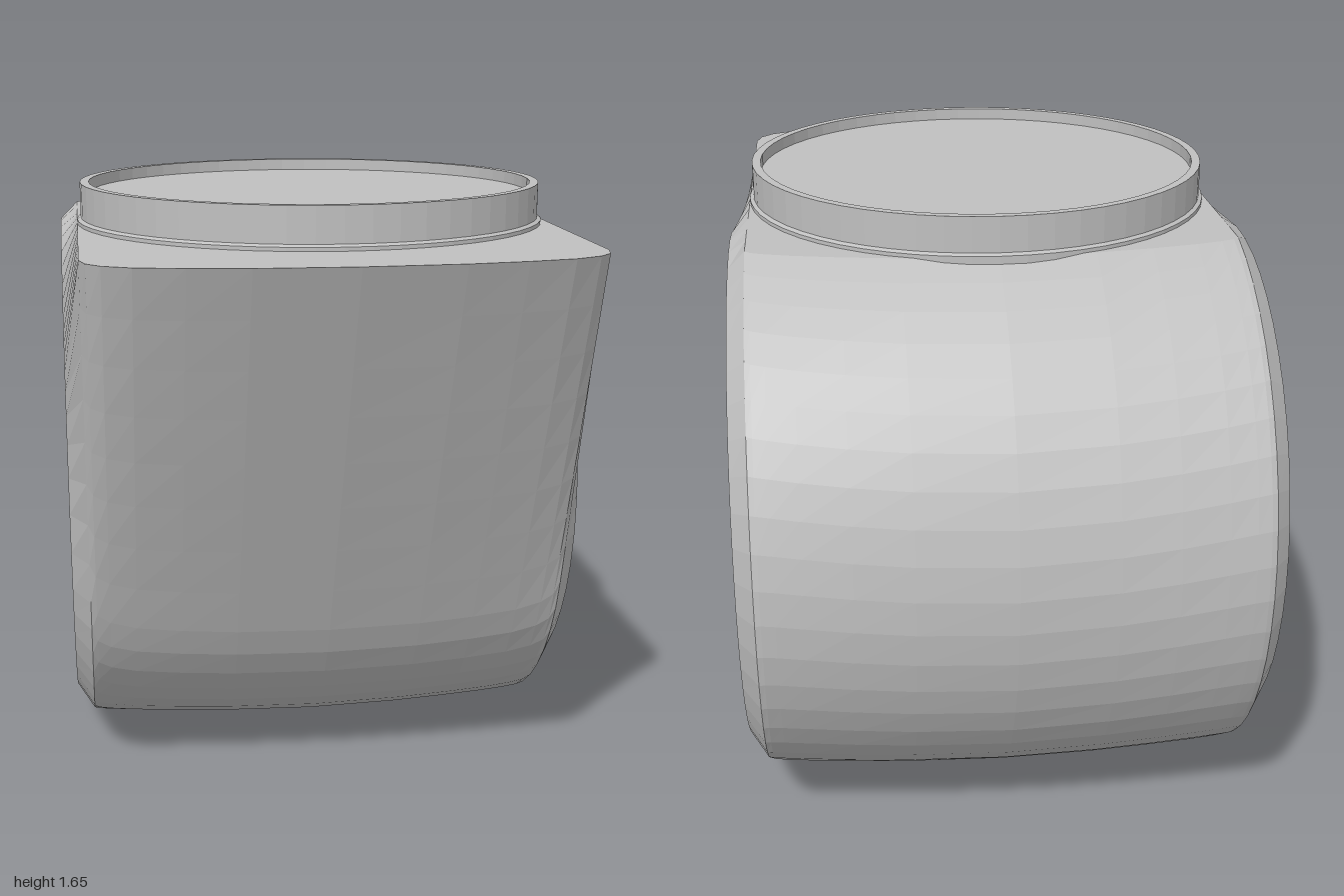
import * as THREE from 'three';

const CZ = -0.2, CY = 0.81, TOP = 1.54; // drum axis and flat top height

// Teardrop loop in (z, y): front lip, drum round the bottom and back, flat top
function teardrop(x, inset, lipZ) {
  const cy = 0.8, r = 0.8 - inset, dz = lipZ - CZ, dy = TOP - cy;
  const start = Math.atan2(dy, dz) - Math.acos(r / Math.hypot(dz, dy));
  const end = -Math.PI - Math.asin(dy / r);
  const on = (a) => [CZ + r * Math.cos(a), cy + r * Math.sin(a)];
  const lip = [lipZ, TOP], loop = [];
  const line = (p, q, n) => {
    for (let i = 0; i < n; i++) loop.push([p[0] + (q[0] - p[0]) * i / n, p[1] + (q[1] - p[1]) * i / n]);
  };
  line(lip, on(start), 8);
  for (let i = 0; i < 34; i++) loop.push(on(start + (end - start) * i / 34));
  line(on(end), lip, 12);
  return loop.map(([z, y]) => [x, y, z]);
}

// Circle sharing the loop's directions from the drum axis
function circle(x, r, guide) {
  return guide.map(([, y, z]) => {
    const a = Math.atan2(y - CY, z - CZ);
    return [x, CY + r * Math.sin(a), CZ + r * Math.cos(a)];
  });
}

function loft(rows) {
  const n = rows[0].length, index = [];
  for (let i = 0; i < rows.length - 1; i++) {
    for (let j = 0; j < n; j++) {
      const k = (j + 1) % n, a = i * n + j, b = i * n + k;
      index.push(a, b, a + n, b, b + n, a + n);
    }
  }
  const g = new THREE.BufferGeometry();
  g.setAttribute('position', new THREE.Float32BufferAttribute(rows.flat(2), 3));
  g.setIndex(index);
  const flat = g.toNonIndexed(); // faceted normals
  flat.computeVertexNormals();
  return flat;
}

export function createModel() {
  const group = new THREE.Group();
  const grey = new THREE.MeshStandardMaterial({ color: 0xc0c0c0 });
  grey.name = 'light grey';
  const add = (name, geometry) => {
    const mesh = new THREE.Mesh(geometry, grey);
    mesh.name = name;
    group.add(mesh);
    return mesh;
  };

  // Barrelled body with bevelled sides: x, inset of the drum, z of the front lip
  const half = [
    [0, 0, 1], [0.25, 0.006, 0.99], [0.4, 0.014, 0.97], [0.52, 0.022, 0.945],
    [0.59, 0.028, 0.91], [0.625, 0.032, 0.87], [0.64, 0.036, 0.81],
  ].map((s) => teardrop(...s));
  const guide = half[half.length - 1];
  half.push(circle(0.687, 0.7, guide), circle(0.687, 0.595, guide), circle(0.677, 0.59, guide));
  const mirrored = half.slice(1).reverse().map((row) => row.map(([x, y, z]) => [-x, y, z]));
  add('body', loft([...mirrored, ...half]));

  // Recessed round panels on both sides
  for (const [name, side] of [['leftPanel', 1], ['rightPanel', -1]]) {
    const panel = add(name, new THREE.CircleGeometry(0.592, 64));
    panel.rotation.y = side * Math.PI / 2;
    panel.position.set(side * 0.677, CY, CZ);
  }

  // Round neck with a thin raised rim and a sunken lid
  const profile = [[0.64, 1.5], [0.64, 1.55], [0.63, 1.556], [0.63, 1.65], [0.606, 1.65], [0.606, 1.618], [0, 1.618]];
  const neck = new THREE.LatheGeometry(profile.map((p) => new THREE.Vector2(...p)), 56).toNonIndexed();
  neck.computeVertexNormals();
  add('neck', neck).position.z = 0.113;

  return group;
}
